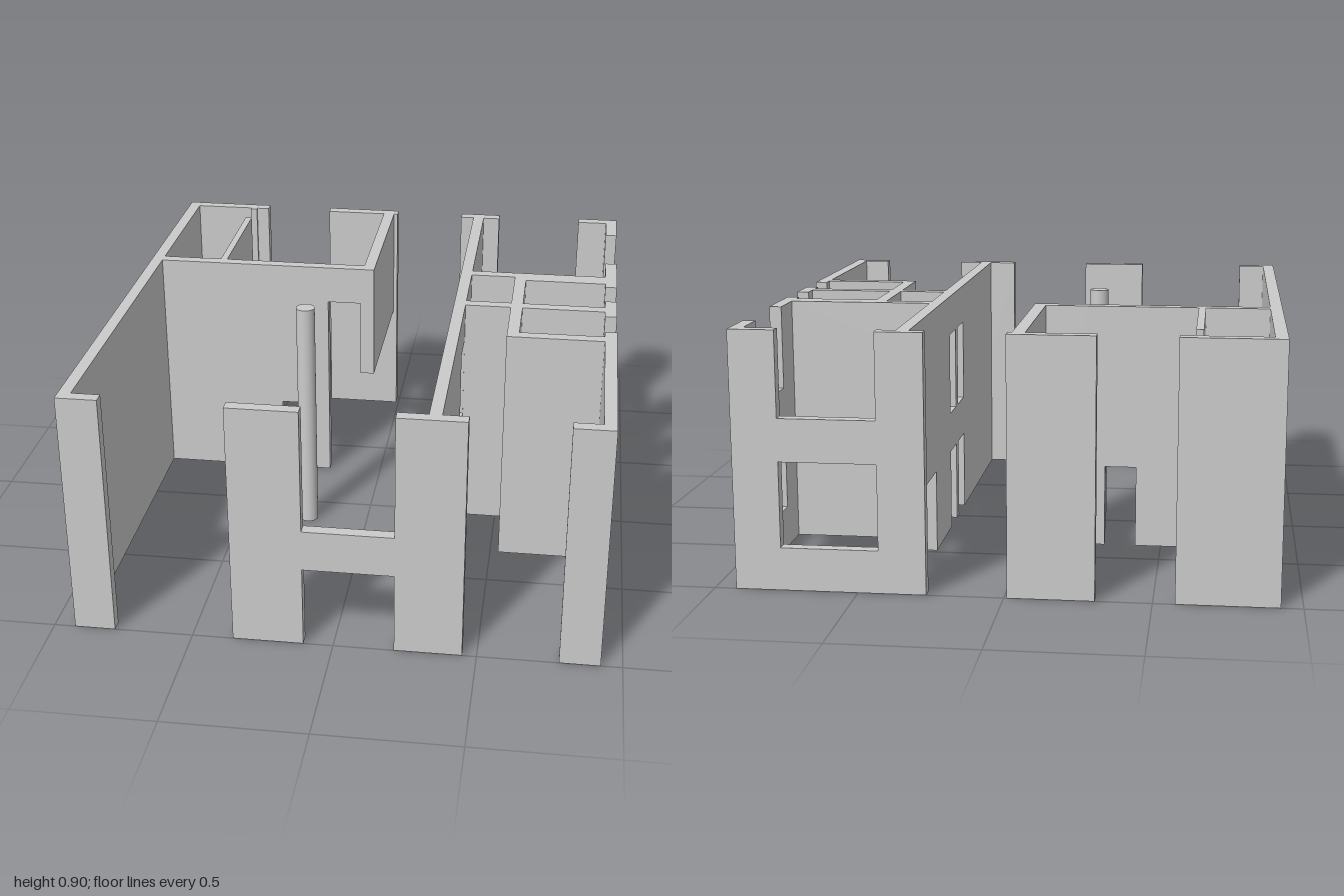
import * as THREE from 'three';

const H = 0.9;    // wall height
const T = 0.044;  // wall thickness
const SLAB = 0.45; // upper storey level
const DOOR = 0.3, UPPER_DOOR = 0.755; // door heads of both storeys

const material = new THREE.MeshStandardMaterial({ color: 0xcccccc, flatShading: true });

// Wall elevation from a to b. Openings are [from, to, bottom, top]:
// those touching the floor or the top become notches, the rest holes.
function wallShape(a, b, y0, y1, openings) {
  const sorted = [...openings].sort((p, q) => p[0] - q[0]);
  const pts = [[a, y0]];
  for (const [l, r, lo, hi] of sorted) {
    if (lo <= y0) pts.push([l, y0], [l, hi], [r, hi], [r, y0]);
  }
  pts.push([b, y0], [b, y1]);
  for (const [l, r, lo, hi] of sorted.reverse()) {
    if (hi >= y1) pts.push([r, y1], [r, lo], [l, lo], [l, y1]);
  }
  pts.push([a, y1]);
  const shape = new THREE.Shape(pts.map(([x, y]) => new THREE.Vector2(x, y)));
  for (const [l, r, lo, hi] of sorted) {
    if (lo > y0 && hi < y1) {
      const hole = [[l, lo], [l, hi], [r, hi], [r, lo]];
      shape.holes.push(new THREE.Path(hole.map(([x, y]) => new THREE.Vector2(x, y))));
    }
  }
  return shape;
}

export function createModel() {
  const house = new THREE.Group();
  house.name = 'houseWalls';

  function wall(name, axis, at, a, b, { openings = [], y0 = 0, t = T } = {}) {
    const geometry = new THREE.ExtrudeGeometry(wallShape(a, b, y0, H, openings), { depth: t, bevelEnabled: false });
    geometry.translate(0, 0, -t / 2);
    const mesh = new THREE.Mesh(geometry, material);
    mesh.name = name;
    if (axis === 'x') {
      mesh.position.z = at;
    } else {
      mesh.rotation.y = -Math.PI / 2;
      mesh.position.x = at;
    }
    house.add(mesh);
  }

  // One window on each storey, the upper one open at the top
  const windows = (a, b) => [[a, b, 0.15, SLAB], [a, b, 0.6, H]];
  // One door on each storey
  const doors = (a, b) => [[a, b, 0, DOOR], [a, b, SLAB, UPPER_DOOR]];

  // Outer side walls
  wall('rightSideWall', 'z', -0.903, -1, 1);
  wall('leftSideWall', 'z', 0.903, -1, 1, {
    openings: [...windows(-0.81, -0.48), ...windows(-0.226, -0.082), ...windows(0.066, 0.21)],
  });

  // Front wall: two corner returns and the middle piece with its beam
  wall('frontCorner', 'x', 0.978, -0.881, -0.78);
  wall('frontCorner', 'x', 0.978, 0.783, 0.881);
  wall('frontWall', 'x', 0.978, -0.355, 0.45, {
    openings: [[-0.105, 0.213, 0, DOOR], [-0.105, 0.213, SLAB, H]],
  });

  // Back wall
  wall('backCorner', 'x', -0.978, -0.881, -0.575);
  wall('backPier', 'x', -0.978, -0.307, -0.01);
  wall('backWall', 'x', -0.978, 0.265, 0.881, { openings: windows(0.428, 0.765) });

  // Long inner wall between the hall and the side rooms
  wall('spineWall', 'z', 0.34, -0.956, 0.956, {
    openings: [[-0.78, -0.48, 0, DOOR], ...doors(-0.155, -0.026), ...doors(0.024, 0.163)],
  });

  // Back room on the hall side
  wall('backRoomWall', 'x', -0.31, -0.881, -0.21, { openings: [[-0.405, -0.29, 0, DOOR]] });
  wall('upperDoorLintel', 'x', -0.31, -0.21, -0.08, { y0: UPPER_DOOR });
  wall('upperDoorPier', 'x', -0.31, -0.08, -0.025, { y0: SLAB });
  wall('upperRoomSideWall', 'z', -0.047, -0.956, -0.332, { y0: SLAB });
  wall('upperPartition', 'z', -0.638, -0.83, -0.332, { y0: SLAB, t: 0.026 });
  wall('upperPartitionJamb', 'z', -0.638, -0.956, -0.945, { y0: SLAB, t: 0.026 });

  // Side rooms and the two small washrooms
  wall('sideRoomWall', 'x', -0.31, 0.362, 0.881, { openings: [[0.38, 0.52, SLAB, UPPER_DOOR]] });
  wall('washroomBackWall', 'x', -0.28, 0.575, 0.881);
  wall('washroomDividingWall', 'x', 0, 0.362, 0.881);
  wall('washroomFrontWall', 'x', 0.274, 0.575, 0.881);
  wall('washroomDoorWall', 'z', 0.553, -0.3, 0.296, {
    openings: [
      [-0.258, -0.145, 0, DOOR], [-0.258, -0.115, SLAB, UPPER_DOOR],
      ...doors(0.12, 0.25),
    ],
  });

  // Round column in the hall
  const column = new THREE.Mesh(
    new THREE.CylinderGeometry(0.035, 0.035, H, 32),
    new THREE.MeshStandardMaterial({ color: 0xcccccc }),
  );
  column.name = 'column';
  column.position.set(-0.23, H / 2, 0.125);
  house.add(column);

  return house;
}
